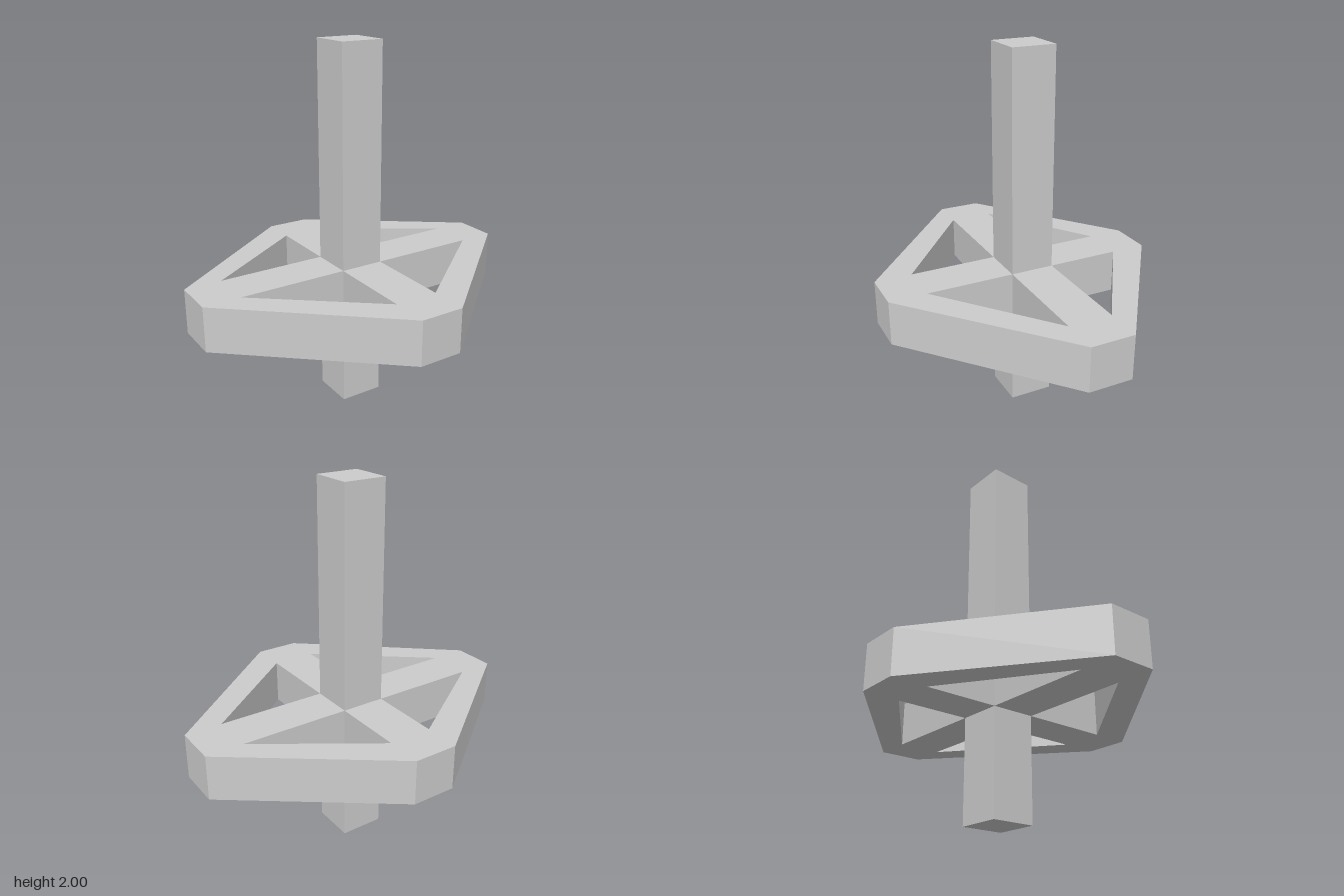
import * as THREE from 'three';

const HALF = 0.12;                  // half width of the post and the spokes
const FRONT = 0.075, BACK = -0.165; // post and cross spoke faces in z
const BOTTOM = 0.555, TOP = 0.8;    // frame height range

// Outline points are [x, z]; the shape's y becomes -z once laid flat.
const toPoints = (list) => list.map(([x, z]) => new THREE.Vector2(x, -z));

export function createModel() {
  const group = new THREE.Group();
  const grey = new THREE.MeshStandardMaterial({ color: 0xcccccc });
  grey.name = 'light grey';

  // Square upright post
  const post = new THREE.Mesh(new THREE.BoxGeometry(HALF * 2, 2, FRONT - BACK), grey);
  post.name = 'post';
  post.position.set(0, 1, (FRONT + BACK) / 2);
  group.add(post);

  // Eight-sided frame around the post
  const shape = new THREE.Shape(toPoints([
    [HALF, 0.765], [0.922, FRONT], [0.922, BACK], [HALF, -0.765],
    [-HALF, -0.765], [-0.922, BACK], [-0.922, FRONT], [-HALF, 0.765],
  ]));

  // Four triangular openings leave the crossed spokes
  for (const side of [1, -1]) {
    for (const [inner, tip] of [[FRONT, 0.56], [BACK, -0.568]]) {
      shape.holes.push(new THREE.Path(toPoints([
        [side * HALF, inner], [side * 0.72, inner], [side * HALF, tip],
      ])));
    }
  }
  const geometry = new THREE.ExtrudeGeometry(shape, { depth: TOP - BOTTOM, bevelEnabled: false });
  geometry.rotateX(-Math.PI / 2);
  const frame = new THREE.Mesh(geometry, grey);
  frame.name = 'spokedFrame';
  frame.position.y = BOTTOM;
  group.add(frame);

  return group;
}
